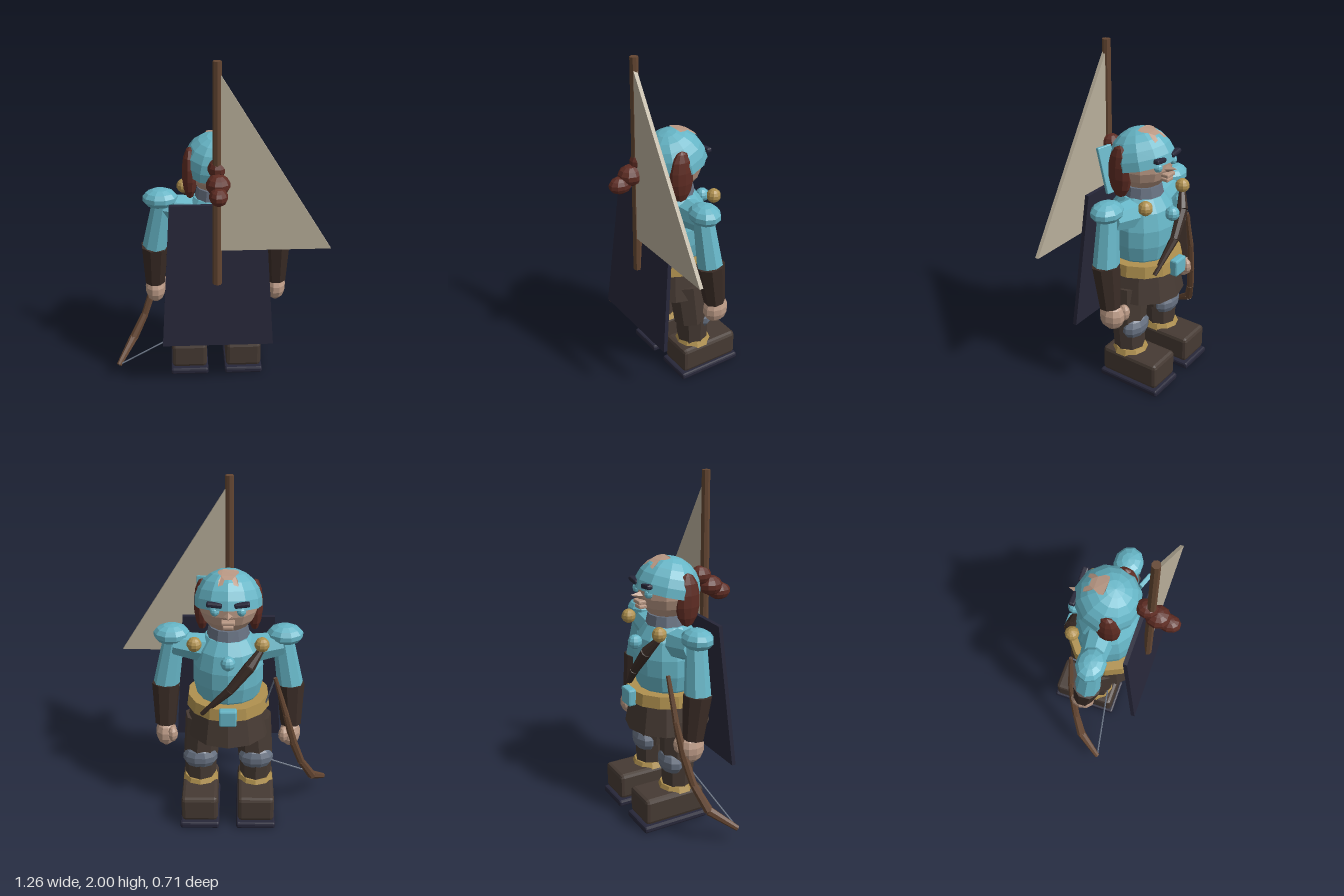
import * as THREE from 'three';
import { RoundedBoxGeometry } from 'three/addons/geometries/RoundedBoxGeometry.js';

const mat = (name, color) => {
  const m = new THREE.MeshStandardMaterial({ color, flatShading: true });
  m.name = name;
  return m;
};

export function createModel() {
  const teal = mat('teal cloth', 0x66b5c6);
  const brown = mat('dark leather', 0x463a33);
  const dark = mat('bracer leather', 0x3a2c26);
  const wood = mat('wood', 0x644632);
  const hair = mat('red hair', 0x5e2c23);
  const skin = mat('skin', 0xb99884);
  const gold = mat('gold', 0xb0914f);
  const navy = mat('navy', 0x272739);
  const steel = mat('steel', 0x667080);
  const canvas = mat('canvas', 0xb8ae9a);
  canvas.side = THREE.DoubleSide;

  const root = new THREE.Group();
  root.name = 'wanderingArcher';
  const body = new THREE.Group();
  body.name = 'figure';
  body.position.x = -0.015;
  root.add(body);

  const add = (name, geo, material, x = 0, y = 0, z = 0, parent = body) => {
    const m = new THREE.Mesh(geo, material);
    m.name = name;
    m.position.set(x, y, z);
    parent.add(m);
    return m;
  };
  const ball = (name, material, x, y, z, rx, ry = rx, rz = rx, ws = 10, hs = 7) => {
    const m = add(name, new THREE.SphereGeometry(1, ws, hs), material, x, y, z);
    m.scale.set(rx, ry, rz);
    return m;
  };
  const box = (name, material, x, y, z, w, h, d, r = 0.01) =>
    add(name, new RoundedBoxGeometry(w, h, d, 1, r), material, x, y, z);
  // Tapered rod from point a to point b
  const limb = (name, material, a, b, ra, rb, sides = 8, parent = body) => {
    const A = new THREE.Vector3(...a), B = new THREE.Vector3(...b);
    const dir = B.clone().sub(A);
    const m = add(name, new THREE.CylinderGeometry(rb, ra, dir.length(), sides), material, 0, 0, 0, parent);
    m.position.copy(A).add(B).multiplyScalar(0.5);
    m.quaternion.setFromUnitVectors(new THREE.Vector3(0, 1, 0), dir.normalize());
    return m;
  };

  // Torso, collar, belt and skirt
  const torso = new THREE.LatheGeometry([
    [0.14, 0.72], [0.185, 0.8], [0.205, 0.89], [0.205, 0.99], [0.18, 1.09], [0.13, 1.16], [0, 1.19],
  ].map(p => new THREE.Vector2(...p)), 14);
  add('torso', torso, teal, 0, 0, -0.06).scale.z = 0.95;
  add('collar', new THREE.CylinderGeometry(0.11, 0.125, 0.07, 12), steel, 0, 1.185, -0.06);
  add('belt', new THREE.CylinderGeometry(0.235, 0.245, 0.07, 14), gold, 0, 0.755, -0.06);
  add('skirt', new THREE.CylinderGeometry(0.215, 0.25, 0.18, 12), brown, 0, 0.635, -0.06);
  box('buckle', teal, 0, 0.755, -0.31, 0.1, 0.1, 0.05);
  ball('chestButton', teal, 0, 1.075, -0.265, 0.042);

  // Dagger worn across the chest
  limb('daggerGrip', dark, [-0.18, 1.13, -0.215], [-0.12, 1.05, -0.255], 0.02, 0.034);
  limb('daggerSheath', dark, [-0.12, 1.05, -0.255], [-0.01, 0.91, -0.275], 0.034, 0.026);
  limb('daggerTip', dark, [-0.01, 0.91, -0.275], [0.15, 0.74, -0.25], 0.026, 0.012);

  // Head with face and cap
  ball('head', skin, 0, 1.36, -0.06, 0.172, 0.172, 0.17, 12, 9);
  const cap = add('cap', new THREE.SphereGeometry(0.19, 12, 6, 0, Math.PI * 2, 0, Math.PI * 0.53), teal, 0, 1.355, -0.06);
  cap.rotation.x = 0.24;
  const nose = add('nose', new THREE.ConeGeometry(0.032, 0.09, 4), skin, 0, 1.345, -0.245);
  nose.rotation.x = -Math.PI / 2 + 0.15;
  box('upperLip', skin, 0, 1.308, -0.23, 0.075, 0.022, 0.05, 0.006);
  box('lowerLip', skin, 0, 1.28, -0.223, 0.06, 0.022, 0.05, 0.006);

  // Patch on the cap, curved to follow the crown
  const half = [[0.02, 0.035], [0.03, 0.06], [0.055, 0.06], [0.052, 0.03], [0.038, 0.005], [0.058, -0.03], [0.055, -0.055], [0.03, -0.06]];
  const outline = [...half, ...half.slice().reverse().map(([x, s]) => [-x, s])];
  const patch = new THREE.ShapeGeometry(new THREE.Shape(outline.map(p => new THREE.Vector2(...p))));
  const pp = patch.attributes.position;
  for (let i = 0; i < pp.count; i++) {
    const x = pp.getX(i), z = -0.06 - pp.getY(i);
    pp.setXYZ(i, x, 1.361 + Math.sqrt(0.19 ** 2 - x * x - z * z), z - 0.06);
  }
  patch.computeVertexNormals();
  add('capPatch', patch, skin);

  // Cap tail and ponytail
  const tail = box('capTail', teal, 0.14, 1.31, 0.075, 0.09, 0.27, 0.025, 0.005);
  tail.rotation.set(0.25, -0.35, 0);
  ball('ponytailTop', hair, 0, 1.405, 0.16, 0.055, 0.055, 0.065);
  ball('ponytailMiddle', hair, 0, 1.335, 0.225, 0.068, 0.06, 0.075);
  ball('ponytailEnd', hair, 0, 1.292, 0.29, 0.052, 0.05, 0.07);

  for (const s of [-1, 1]) {
    const side = s > 0 ? 'left' : 'right';
    // Face and hair
    ball(side + 'Eye', teal, s * 0.072, 1.365, -0.212, 0.026, 0.026, 0.026, 8, 6);
    const brow = box(side + 'Eyebrow', navy, s * 0.075, 1.41, -0.225, 0.085, 0.027, 0.035, 0.008);
    brow.rotation.z = s * 0.12;
    ball(side + 'Sidelock', hair, s * 0.15, 1.32, -0.012, 0.045, 0.155, 0.075);
    ball(side + 'CollarBead', gold, s * 0.187, 1.165, -0.21, 0.042);
    // Arm
    ball(side + 'ShoulderPad', teal, s * 0.322, 1.153, -0.05, 0.105, 0.06, 0.088);
    limb(side + 'ShoulderJoint', teal, [s * 0.12, 1.07, -0.07], [s * 0.31, 1.1, -0.06], 0.09, 0.07);
    limb(side + 'UpperArm', teal, [s * 0.31, 1.13, -0.05], [s * 0.36, 0.84, -0.068], 0.06, 0.076);
    limb(side + 'Bracer', dark, [s * 0.362, 0.845, -0.068], [s * 0.37, 0.59, -0.1], 0.084, 0.062);
    ball(side + 'Hand', skin, s * 0.368, 0.535, -0.11, 0.062, 0.085, 0.078);
    ball(side + 'Thumb', skin, s * 0.325, 0.55, -0.165, 0.03, 0.05, 0.035, 8, 6);
    // Leg
    const lx = s * 0.167;
    limb(side + 'Thigh', brown, [lx * 0.85, 0.62, -0.06], [lx, 0.36, -0.08], 0.115, 0.105);
    limb(side + 'Shin', brown, [lx, 0.38, -0.085], [lx, 0.18, -0.09], 0.1, 0.09);
    ball(side + 'KneePad', steel, lx, 0.37, -0.13, 0.105, 0.078, 0.068);
    add(side + 'BootTrim', new THREE.CylinderGeometry(0.095, 0.11, 0.035, 10), gold, lx, 0.212, -0.095);
    box(side + 'Boot', brown, lx, 0.125, -0.155, 0.215, 0.16, 0.38, 0.022);
    box(side + 'Sole', navy, lx, 0.021, -0.155, 0.232, 0.04, 0.41, 0.012);
  }

  // Cape: a slab widening towards the hem and sloping backwards
  const cape = new THREE.BoxGeometry(1, 0.86, 0.024);
  const cp = cape.attributes.position;
  for (let i = 0; i < cp.count; i++) {
    const top = cp.getY(i) > 0;
    cp.setX(i, Math.sign(cp.getX(i)) * (top ? 0.27 : 0.325));
    cp.setZ(i, cp.getZ(i) + (top ? 0.13 : 0.208));
  }
  cape.computeVertexNormals();
  add('cape', cape, navy, 0, 0.75, 0);

  // Mast and triangular sail
  add('mast', new THREE.CylinderGeometry(0.024, 0.027, 1.285, 8), wood, -0.018, 1.3575, 0.187, root);
  const sail = new THREE.Shape([[0, 0.93], [0.625, 0.93], [0, 1.93]].map(p => new THREE.Vector2(...p)));
  add('sail', new THREE.ExtrudeGeometry(sail, { depth: 0.022, bevelEnabled: false }), canvas, 0, 0, 0.18, root);

  // Bow held in the right hand, with drawn string
  const bow = [[-0.28, 0.95, -0.2], [-0.35, 0.7, -0.19], [-0.4, 0.5, -0.165], [-0.455, 0.34, -0.135], [-0.53, 0.2, -0.08], [-0.617, 0.092, 0.058]];
  const radii = [0.012, 0.018, 0.024, 0.022, 0.027, 0.016];
  for (let i = 0; i < bow.length - 1; i++)
    limb('bowLimb' + (i + 1), wood, bow[i], bow[i + 1], radii[i], radii[i + 1], 7, root);
  const nock = [-0.13, 0.32, -0.02];
  limb('bowStringLower', steel, bow[5], nock, 0.005, 0.005, 5, root);
  limb('bowStringUpper', steel, nock, bow[0], 0.005, 0.005, 5, root);

  return root;
}
